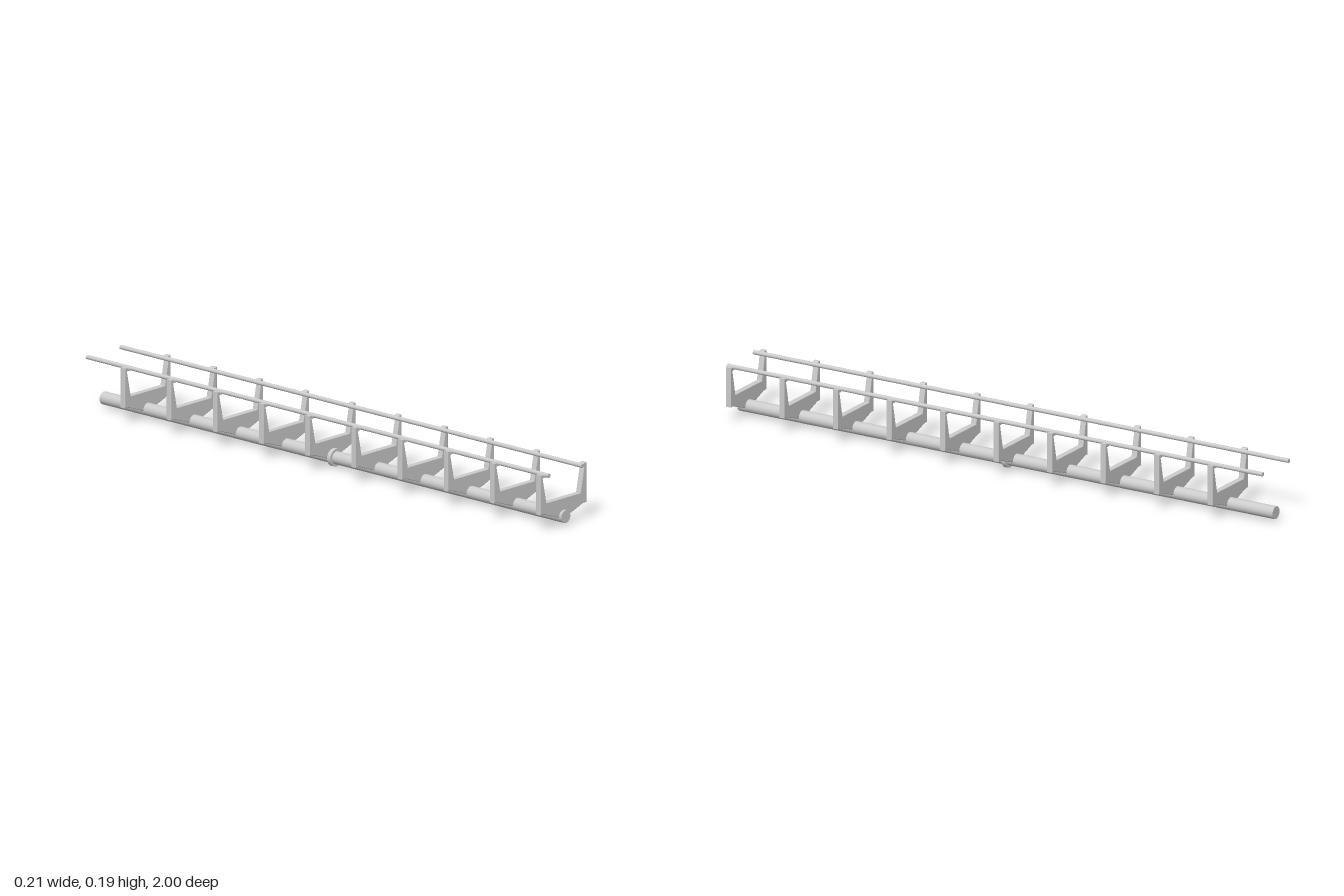
import * as THREE from 'three';

const material = new THREE.MeshStandardMaterial({ color: 0xcccccc });

// Cylinder lying along z
function rod(name, radius, length, sides, x, y) {
  const geometry = new THREE.CylinderGeometry(radius, radius, length, sides);
  geometry.rotateX(Math.PI / 2);
  const mesh = new THREE.Mesh(geometry, material);
  mesh.name = name;
  mesh.position.set(x, y, 0);
  return mesh;
}

// U-shaped cradle outline, mirrored from its +x half
function cradleGeometry() {
  const half = [
    [0.02, 0.026], [0.034, 0.032], [0.06, 0.041], [0.088, 0.0515], [0.096, 0.053],
    [0.107, 0.053], [0.107, 0.185], [0.096, 0.185], [0.092, 0.182], [0.08, 0.181],
    [0.08, 0.174], [0.096, 0.172], [0.079, 0.089],
  ];
  const mirrored = half.map(([x, y]) => [-x, y]).reverse();
  const shape = new THREE.Shape([...half, ...mirrored].map(([x, y]) => new THREE.Vector2(x, y)));
  const bevel = 0.002;
  const depth = 0.02;
  const geometry = new THREE.ExtrudeGeometry(shape, {
    depth: depth - 2 * bevel,
    bevelEnabled: true,
    bevelThickness: bevel,
    bevelSize: bevel,
    bevelOffset: -bevel,
    bevelSegments: 2,
  });
  geometry.translate(0, 0, bevel - depth / 2);
  return geometry;
}

export function createModel() {
  const model = new THREE.Group();
  model.name = 'railTrack';

  // Spine pipe with its middle joint collar
  model.add(rod('spinePipe', 0.021, 2, 32, 0, 0.029));
  model.add(rod('spineCollar', 0.029, 0.014, 32, 0, 0.029));

  // Two running rails
  for (const side of [1, -1]) {
    model.add(rod(side > 0 ? 'leftRail' : 'rightRail', 0.007, 2, 16, side * 0.078, 0.18));
  }

  // Evenly spaced cradles holding the rails
  const geometry = cradleGeometry();
  for (let i = 0; i < 10; i++) {
    const cradle = new THREE.Mesh(geometry, material);
    cradle.name = `cradle${i + 1}`;
    cradle.position.z = 0.98 - i * 0.2;
    model.add(cradle);
  }
  return model;
}
